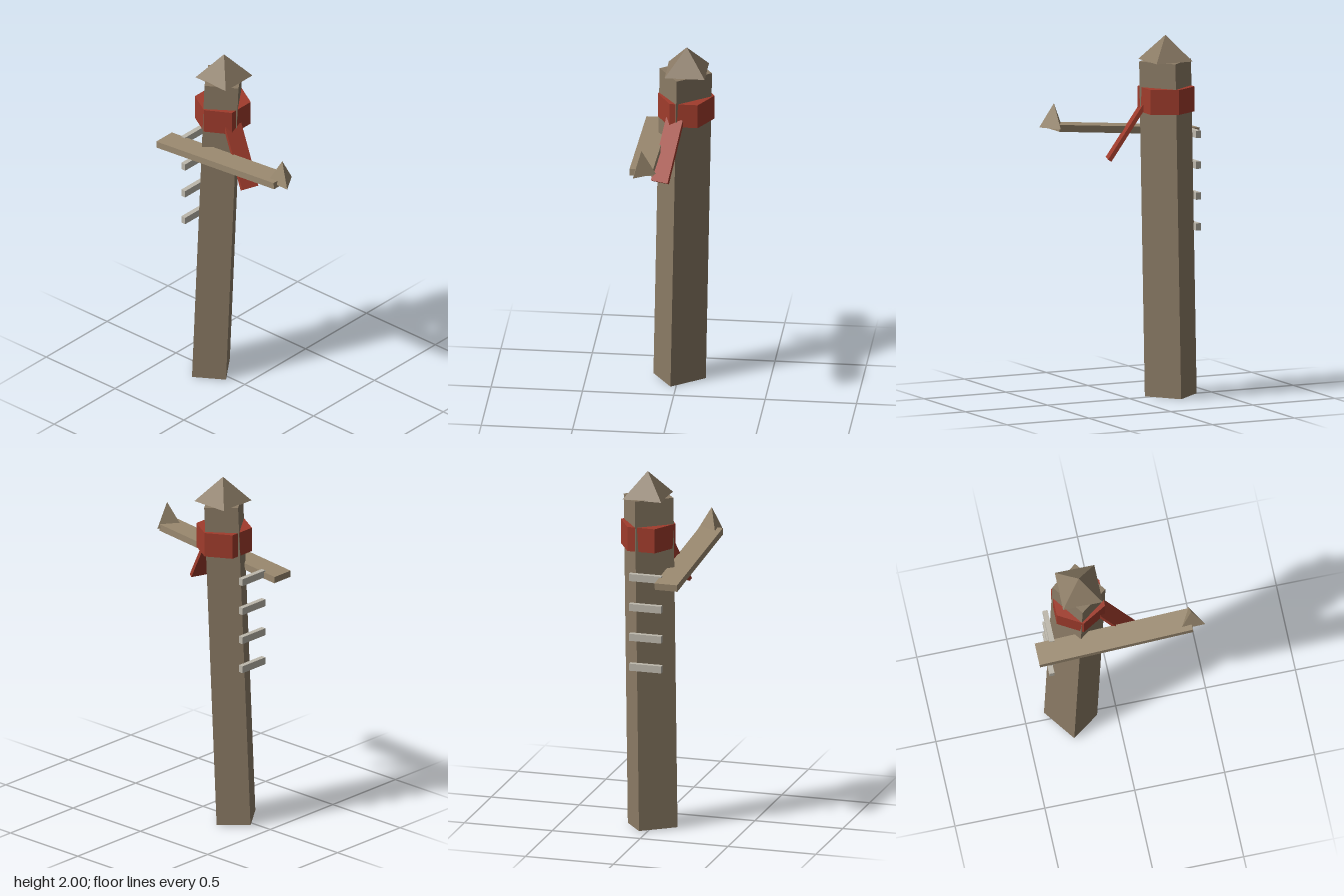
import * as THREE from 'three';

const material = (color) => new THREE.MeshStandardMaterial({ color, flatShading: true });

export function createModel() {
  const group = new THREE.Group();
  const wood = material(0x8b7b65);
  const plankWood = material(0x9b8a70);
  const red = material(0xa03c2c);
  const stone = material(0xbdb8ac);

  const add = (name, geometry, mat, x, y, z) => {
    const mesh = new THREE.Mesh(geometry, mat);
    mesh.name = name;
    mesh.position.set(x, y, z);
    group.add(mesh);
    return mesh;
  };

  // A box running from one end point to the other, turned about its own length
  const beam = (name, from, to, width, depth, turn, mat) => {
    const a = new THREE.Vector3(...from), b = new THREE.Vector3(...to);
    const axis = b.clone().sub(a);
    const mid = a.clone().add(b).multiplyScalar(0.5);
    const mesh = add(name, new THREE.BoxGeometry(width, axis.length(), depth), mat, mid.x, mid.y, mid.z);
    const up = new THREE.Vector3(0, 1, 0);
    mesh.quaternion.setFromUnitVectors(up, axis.normalize())
      .multiply(new THREE.Quaternion().setFromAxisAngle(up, turn));
    return mesh;
  };

  // Leaning post
  beam('post', [-0.25, 0.005, -0.005], [-0.195, 1.86, -0.045], 0.186, 0.222, 0.63, wood);

  // Four-sided cap
  const cap = new THREE.ConeGeometry(0.11 * Math.SQRT2, 0.14, 4).rotateY(Math.PI / 4);
  add('cap', cap, wood, -0.195, 1.93, -0.05);

  // Six-sided scarf band and its hanging tail
  add('scarfBand', new THREE.CylinderGeometry(0.155, 0.155, 0.137, 6), red, -0.2, 1.647, -0.046);
  const tail = add('scarfTail', new THREE.BoxGeometry(0.355, 0.022, 0.1), red, 0.003, 1.467, 0.034);
  tail.rotation.set(0, -0.34, -1.0, 'YZX');

  // Tilted sign plank with a three-sided point
  const plank = add('signPlank', new THREE.BoxGeometry(0.856, 0.038, 0.128), plankWood, -0.038, 1.47, 0.136);
  plank.rotation.z = 0.09;
  const point = new THREE.ConeGeometry(0.08, 0.135, 3).rotateY(Math.PI + 0.02);
  add('signPoint', point, plankWood, 0.392, 1.572, 0.135);

  // Rungs up the side
  for (let i = 0; i < 4; i++) {
    add('rung' + (i + 1), new THREE.BoxGeometry(0.028, 0.04, 0.183), stone, -0.372, 0.935 + i * 0.17, -0.007);
  }
  return group;
}
